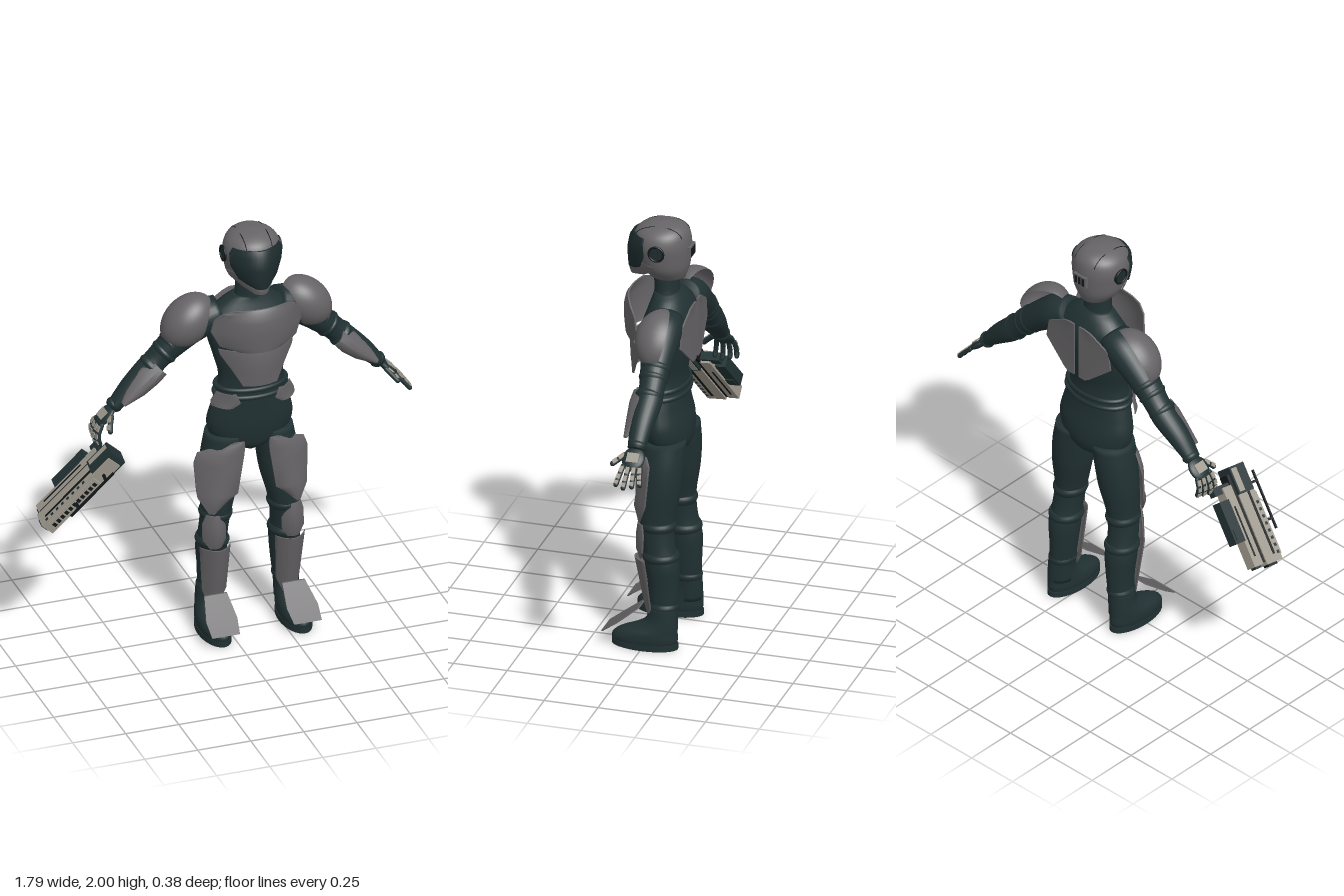
import * as THREE from 'three';
import { toCreasedNormals } from 'three/addons/utils/BufferGeometryUtils.js';

const paint = (name, color, side = THREE.FrontSide) => {
  const m = new THREE.MeshStandardMaterial({ color, side });
  m.name = name;
  return m;
};
const V = (x, y, z) => new THREE.Vector3(x, y, z);
const T = (x, y, z) => new THREE.Matrix4().makeTranslation(x, y, z);
const RZ = (a) => new THREE.Matrix4().makeRotationZ(a);
const RY = (a) => new THREE.Matrix4().makeRotationY(a);

// Skins a list of closed rings
function skin(rings) {
  const n = rings[0].length, pos = rings.flat().flatMap((p) => [p.x, p.y, p.z]), idx = [];
  for (let i = 0; i < rings.length - 1; i++) for (let j = 0; j < n; j++) {
    const a = i * n + j, b = i * n + (j + 1) % n;
    idx.push(a, a + n, b, b, a + n, b + n);
  }
  const g = new THREE.BufferGeometry();
  g.setAttribute('position', new THREE.Float32BufferAttribute(pos, 3));
  g.setIndex(idx);
  g.computeVertexNormals();
  return g;
}

// Smooth interpolation of rows [x, y, z, rx, rz]
function spline(rows) {
  const c = new THREE.CatmullRomCurve3(rows.map((r) => V(r[0], r[1], r[2])), false, 'catmullrom', 0.5);
  const r = new THREE.CatmullRomCurve3(rows.map((q) => V(q[3], q[4], 0)), false, 'catmullrom', 0.5);
  return (t) => ({ p: c.getPoint(t), d: c.getTangent(t), rx: Math.max(r.getPoint(t).x, 0.001), rz: Math.max(r.getPoint(t).y, 0.001) });
}

// Elliptical loft; rings stay level when flat (rows then go upwards)
function loft(rows, flat = true, seg = 28) {
  const at = spline(rows), rings = [], steps = (rows.length - 1) * 5;
  for (let i = 0; i <= steps; i++) {
    const s = at(i / steps), d = flat ? V(0, 1, 0) : s.d;
    const w = V(0, 0, 1).addScaledVector(d, -d.z).normalize(), u = d.clone().cross(w);
    rings.push(Array.from({ length: seg }, (_, j) => {
      const a = j / seg * Math.PI * 2;
      return s.p.clone().addScaledVector(u, s.rx * Math.cos(a)).addScaledVector(w, s.rz * Math.sin(a));
    }));
  }
  const end = (ring) => { const c = ring.reduce((s, p) => s.add(p), V(0, 0, 0)).divideScalar(seg); return ring.map(() => c.clone()); };
  return skin([end(rings[0]), ...rings, end(rings[steps])]);
}

// Curved armour plate from rows [y, x0, z0, x1, z1, bulge], upwards, x0 > x1
function plate(rows, thick = 0.008, cols = 14) {
  const rings = rows.map(([y, x0, z0, x1, z1, b]) => {
    const f = [];
    for (let j = 0; j <= cols; j++) {
      const t = j / cols;
      f.push(V(x0 + (x1 - x0) * t, y, z0 + (z1 - z0) * t + b * (1 - (2 * t - 1) ** 2)));
    }
    return [...f, ...f.map((p) => V(p.x, p.y, p.z - thick)).reverse()];
  });
  const close = (r) => r.map((p, i) => p.clone().lerp(r[r.length - 1 - i], 0.5));
  return toCreasedNormals(skin([close(rings[0]), ...rings, close(rings[rings.length - 1])]), 0.6);
}
const symPlate = (rows) => plate(rows.map(([y, w, ze, zm]) => [y, w, ze, -w, ze, zm - ze]));

function mirrored(geo) {
  const g = geo.clone().scale(-1, 1, 1);
  const ix = g.index ? Array.from(g.index.array) : [...Array(g.attributes.position.count).keys()];
  for (let i = 0; i < ix.length; i += 3) [ix[i + 1], ix[i + 2]] = [ix[i + 2], ix[i + 1]];
  g.setIndex(ix);
  return g;
}

export function createModel() {
  const suit = paint('dark suit', 0x213133), armour = paint('grey armour', 0x666466, THREE.DoubleSide);
  const bone = paint('pale metal', 0x9f998d), black = paint('black gaps', 0x121718), visorMat = paint('visor', 0x1d2c2e);
  const root = new THREE.Group(), body = new THREE.Group();
  root.name = 'armouredFigure'; body.name = 'body'; body.position.x = 0.12;
  root.add(body);
  const add = (name, geo, mat, parent = body) => {
    const m = new THREE.Mesh(geo, mat);
    m.name = name; parent.add(m);
    return m;
  };
  const pair = (name, geo, mat) => { add(name + 'Left', geo, mat); add(name + 'Right', mirrored(geo), mat); };

  // Torso, belt and neck
  add('torso', loft([[0, .885, -.06, .03, .04], [0, .92, -.062, .11, .085], [0, .97, -.062, .18, .102], [0, 1.04, -.055, .2, .106],
    [0, 1.12, -.045, .185, .1], [0, 1.2, -.04, .162, .098], [0, 1.28, -.038, .15, .098], [0, 1.38, -.045, .175, .11],
    [0, 1.5, -.055, .205, .115], [0, 1.58, -.065, .19, .1], [0, 1.64, -.06, .125, .075], [0, 1.67, -.05, .075, .058]]), suit);
  add('neck', loft([[0, 1.62, -.05, .085, .065], [0, 1.68, -.047, .07, .056], [0, 1.77, -.042, .068, .056]]), suit);
  for (const [y, r] of [[1.19, .168], [1.225, .162]])
    add('belt', new THREE.TorusGeometry(r, .012, 8, 40).rotateX(Math.PI / 2).scale(1, 1, .64).translate(0, y, -.04), suit);

  // Torso armour
  add('chestPlate', symPlate([[1.45, .1, .1, .135], [1.475, .18, .06, .138], [1.54, .212, .035, .145], [1.6, .2, .045, .145],
    [1.64, .17, .075, .135], [1.66, .12, .1, .122]]), armour);
  add('abdomenPlate', symPlate([[1.27, .08, .09, .11], [1.34, .12, .065, .117], [1.42, .17, .035, .12], [1.445, .175, .03, .115]]), armour);
  pair('backPlate', plate([[1.35, .05, -.178, .015, -.178, 0], [1.365, .075, -.177, .015, -.178, 0], [1.47, .195, -.165, .015, -.178, 0],
    [1.56, .18, -.165, .015, -.178, 0], [1.62, .08, -.174, .015, -.178, 0], [1.63, .05, -.178, .015, -.178, 0]]), armour);
  pair('hipPlate', plate([[1.145, .197, -.01, .115, .055, .02], [1.17, .195, -.01, .082, .065, .02], [1.215, .172, 0, .1, .06, .02]]), armour);

  // Helmet
  const dome = [[0, 1.738, -.05, .07, .08], [0, 1.79, -.04, .11, .108], [0, 1.85, -.03, .124, .125], [0, 1.91, -.025, .13, .131],
    [0, 1.96, -.028, .112, .116], [0, 1.99, -.035, .066, .074], [0, 2, -.035, .01, .01]];
  add('helmet', loft(dome, true, 40), armour);
  add('visor', symPlate([[1.765, .04, .1, .132], [1.8, .09, .06, .134], [1.86, .12, .035, .136], [1.92, .124, .035, .124],
    [1.947, .108, .035, .108]]), visorMat);
  add('jawGuard', symPlate([[1.735, .03, .105, .122], [1.755, .07, .05, .128], [1.79, .112, -.005, .124], [1.82, .125, -.01, .11]]), armour);
  const at = spline(dome);
  for (const x of [-.06, .06]) {
    const line = [], n = 20;
    for (const s of [1, -1]) for (let k = 0; k <= n; k++) {
      const q = at(.62 + .2 * (s > 0 ? k : n - k) / n), c = 1 - (x / q.rx) ** 2;
      if (c > 0) line.push(V(x, q.p.y, q.p.z + s * q.rz * Math.sqrt(c)));
    }
    add('helmetSeam', new THREE.TubeGeometry(new THREE.CatmullRomCurve3(line), 50, .002, 5), black);
  }
  pair('earDisc', new THREE.CylinderGeometry(.036, .036, .012, 24).rotateZ(Math.PI / 2).translate(.126, 1.89, -.035), visorMat);
  pair('earRing', new THREE.TorusGeometry(.034, .005, 8, 28).rotateY(Math.PI / 2).translate(.132, 1.89, -.035), black);
  add('rearVent', new THREE.BoxGeometry(.075, .055, .014), armour).position.set(0, 1.87, -.158);
  for (const x of [-.022, 0, .022]) add('ventSlot', new THREE.BoxGeometry(.012, .038, .004), black).position.set(x, 1.87, -.166);

  // Arms
  pair('arm', loft([[.13, 1.59, -.08, .06, .075], [.2, 1.555, -.09, .08, .085], [.29, 1.49, -.096, .07, .076], [.37, 1.42, -.102, .06, .064],
    [.42, 1.37, -.106, .054, .058], [.47, 1.32, -.104, .056, .061], [.55, 1.25, -.1, .046, .053], [.63, 1.17, -.098, .028, .038]], false, 24), suit);
  for (const [x, y, r] of [[.35, 1.44, .066], [.385, 1.405, .063], [.445, 1.345, .061], [.62, 1.18, .038]])
    pair('sleeveBand', loft([[x - .014, y + .013, -.102, r - .008, r - .006], [x, y, -.102, r, r + .003], [x + .014, y - .013, -.102, r - .008, r - .006]], false, 24), suit);
  pair('shoulderGuard', new THREE.SphereGeometry(1, 32, 14, 0, Math.PI * 2, 0, Math.PI * .5).rotateX(Math.PI / 2)
    .scale(.142, .104, .112).rotateX(-.5).rotateZ(-.8).translate(.275, 1.545, -.1), armour);
  pair('forearmGuard', plate([[-.115, .012, -.07, -.01, -.065, .01], [-.02, .045, -.1, -.042, -.07, .035], [.06, .052, -.1, -.05, -.07, .04],
    [.115, .03, -.08, -.04, -.06, .02]]).applyMatrix4(T(.51, 1.28, .028).multiply(RZ(.85))), armour);

  // Hands: palm, four jointed fingers and a thumb, with pale back plates
  function hand(side, curl) {
    const put = (name, geo, m, mat) => { geo.applyMatrix4(m); add(name, side < 0 ? mirrored(geo) : geo, mat); };
    const M = T(.63, 1.17, -.098).multiply(RZ(-.765));
    put('palm', new THREE.SphereGeometry(1, 20, 12).scale(.06, .019, .052).translate(.05, 0, 0), M, suit);
    put('handPlate', new THREE.BoxGeometry(.045, .006, .055), M.clone().multiply(T(.05, .018, 0)), bone);
    const digit = (m, lens, r, bend) => lens.forEach((len) => {
      m.multiply(RZ(-bend));
      put('finger', new THREE.CapsuleGeometry(r, len, 4, 10).rotateZ(Math.PI / 2).translate(len / 2, 0, 0), m, suit);
      put('fingerPlate', new THREE.BoxGeometry(len * .75, .005, r * 1.6).translate(len / 2, r, 0), m, bone);
      m.multiply(T(len, 0, 0));
    });
    for (let i = 0; i < 4; i++) {
      const s = i - 1.5, l = 1 - .1 * Math.abs(i - 2);
      digit(M.clone().multiply(T(.088, 0, s * .026)).multiply(RY(-s * .12)), [.042 * l, .033 * l, .026 * l], .011, curl);
    }
    digit(M.clone().multiply(T(.03, -.005, .04)).multiply(RY(-.8)), [.04, .032], .012, curl * .5);
  }
  hand(1, .05);
  hand(-1, .35);

  // Legs and boots
  pair('leg', loft([[.185, .08, -.085, .055, .066], [.178, .18, -.085, .054, .064], [.172, .3, -.083, .062, .07], [.172, .4, -.077, .07, .078],
    [.168, .5, -.06, .065, .074], [.158, .61, -.05, .07, .08], [.142, .75, -.06, .09, .093], [.128, .87, -.064, .094, .1], [.108, .98, -.064, .094, .1]]), suit);
  for (const [x, y, z, r] of [[.17, .44, -.07, .077], [.16, .585, -.053, .076], [.178, .2, -.085, .061]])
    pair('legBand', loft([[x, y - .022, z, r - .008, r], [x, y, z, r, r + .008], [x, y + .022, z, r - .008, r]]), suit);
  pair('boot', loft([[.19, .012, 0, .064, .145], [.19, .045, -.003, .07, .152], [.19, .075, -.018, .068, .135], [.188, .105, -.055, .062, .098],
    [.185, .14, -.08, .058, .072], [.182, .2, -.085, .056, .065]]), suit);
  pair('sole', new THREE.CylinderGeometry(1, 1, .026, 32).scale(.07, 1, .153).translate(.19, .013, -.003), suit);

  // Leg armour
  pair('thighGuard', plate([[.61, .215, .02, .195, .03, 0], [.68, .257, -.01, .13, .045, .03], [.71, .26, -.02, .09, .05, .032],
    [.85, .268, -.035, .068, .05, .04], [.9, .25, -.035, .06, .05, .035], [.945, .15, .02, .057, .052, .018], [.965, .09, .05, .06, .055, 0]]), armour);
  pair('kneeGuard', plate([[.43, .21, .015, .155, .015, .01], [.47, .238, 0, .132, .008, .035], [.55, .238, -.005, .13, .005, .04],
    [.598, .222, .005, .148, .01, .025]]), armour);
  pair('shinGuard', plate([[.13, .205, -.025, .15, -.025, .008], [.2, .228, -.035, .118, -.028, .036], [.43, .247, -.012, .106, -.004, .058]]), armour);
  pair('footGuard', plate([[.072, .258, .182, .128, .182, 0], [.12, .263, .116, .117, .116, 0], [.197, .237, .018, .13, .018, 0]]), armour);

  // Hand-held blaster; local x runs to the muzzle, local z to the front
  const gun = new THREE.Group();
  gun.name = 'blaster';
  const gx = V(-.313, -.343, -.07).normalize(), gz = V(0, 0, 1).addScaledVector(gx, -gx.z).normalize();
  gun.applyMatrix4(new THREE.Matrix4().makeBasis(gx, gz.clone().cross(gx), gz).setPosition(-.712, .882, .035));
  root.add(gun);
  const block = (name, w, h, d, x, y, z, mat) => add(name, new THREE.BoxGeometry(w, h, d), mat, gun).position.set(x, y, z);
  block('upperBody', .44, .07, .09, .015, 0, .025, bone);
  block('rearHousing', .13, .092, .085, -.165, 0, .02, suit);
  block('rearShell', .11, .096, .03, -.165, 0, .0, bone);
  block('frontRail', .3, .05, .014, .06, 0, .076, bone);
  block('coreStrip', .42, .056, .02, .01, 0, -.028, black);
  block('lowerBody', .38, .06, .05, .035, 0, -.06, bone);
  block('muzzle', .02, .04, .05, .236, 0, .02, black);
  block('lowerMuzzle', .015, .035, .03, .228, 0, -.06, suit);
  block('magazine', .2, .056, .055, .0, -.008, -.108, suit);
  block('magazineCap', .05, .066, .04, .06, -.008, -.105, suit);
  block('grip', .04, .04, .11, -.15, 0, -.075, suit);
  block('sightBar', .28, .01, .008, -.04, .0, .125, black);
  for (const x of [-.13, .05]) block('sightPost', .012, .01, .045, x, 0, .1, black);
  for (let i = 0; i < 11; i++) block('railSlot', .016, .02, .006, -.07 + i * .026, 0, .082, black);
  for (const s of [-1, 1]) {
    block('sideGroove', .3, .004, .012, .05, s * .035, .035, black);
    block('lowerGroove', .24, .004, .008, .06, s * .03, -.062, black);
    for (let i = 0; i < 8; i++) block('sideNotch', .014, .005, .012, -.04 + i * .034, s * .035, .06, suit);
  }
  return root;
}
